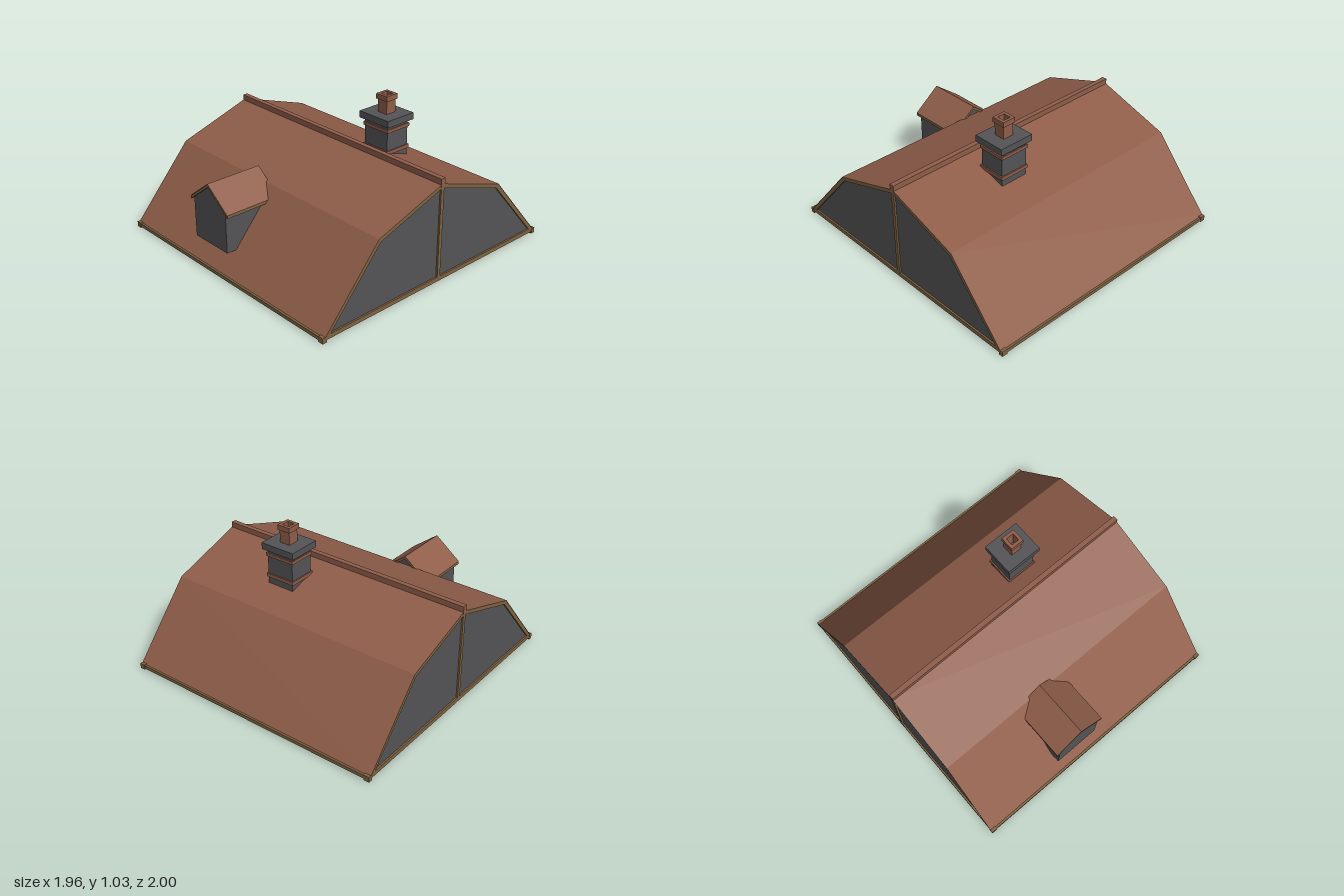
import * as THREE from 'three';

const tile = new THREE.MeshStandardMaterial({ name: 'roofTile', color: 0x8f5d49, side: THREE.DoubleSide });
const plaster = new THREE.MeshStandardMaterial({ name: 'greyWall', color: 0x545457, side: THREE.DoubleSide });
const wood = new THREE.MeshStandardMaterial({ name: 'wood', color: 0x7f6341 });

function add(parent, name, geometry, material) {
  const mesh = new THREE.Mesh(geometry, material);
  mesh.name = name;
  parent.add(mesh);
  return mesh;
}

// Box given by its limits on each axis
function box(parent, name, material, [x0, x1], [y0, y1], [z0, z1]) {
  const mesh = add(parent, name, new THREE.BoxGeometry(x1 - x0, y1 - y0, z1 - z0), material);
  mesh.position.set((x0 + x1) / 2, (y0 + y1) / 2, (z0 + z1) / 2);
  return mesh;
}

// Complete a half profile (eave to ridge) on the other side
const mirror = (half) => [...half, ...half.slice(0, -1).reverse().map(([x, y]) => [-x, y])];
const shapeOf = (points) => new THREE.Shape(points.map(([x, y]) => new THREE.Vector2(x, y)));

// Folded open sheet: a profile in x,y swept from z0 to z1
function sheet(points, z0, z1) {
  const pos = [];
  for (let i = 0; i < points.length - 1; i++) {
    const [ax, ay] = points[i], [bx, by] = points[i + 1];
    pos.push(ax, ay, z0, ax, ay, z1, bx, by, z1, ax, ay, z0, bx, by, z1, bx, by, z0);
  }
  const g = new THREE.BufferGeometry();
  g.setAttribute('position', new THREE.Float32BufferAttribute(pos, 3));
  g.computeVertexNormals();
  return g;
}

// Solid band between two profiles, swept from z0 to z1
function band(outer, inner, z0, z1) {
  const g = new THREE.ExtrudeGeometry(shapeOf([...outer, ...[...inner].reverse()]), { depth: z1 - z0, bevelEnabled: false });
  return g.translate(0, 0, z0);
}

const raise = (points, d) => points.map(([x, y]) => [x, y + d]);

function buildRoof() {
  const roof = new THREE.Group();
  roof.name = 'mainRoof';
  const outer = mirror([[0.982, 0.03], [0.55, 0.525], [0, 0.708]]);
  const inner = mirror([[0.95, 0.03], [0.532, 0.503], [0, 0.68]]);

  add(roof, 'roofSlopes', sheet(raise(outer, 0.003), -0.982, 0.982).rotateY(Math.PI / 2), tile);
  box(roof, 'ridgeCap', tile, [-0.982, 0.982], [0.69, 0.745], [-0.018, 0.018]);

  // Gable walls with their timber frames
  for (const s of [-1, 1]) {
    const wall = new THREE.ShapeGeometry(shapeOf(outer)).rotateY(Math.PI / 2).translate(s * 0.968, 0, 0);
    add(roof, 'gableWall', wall, plaster);
    const range = s > 0 ? [0.955, 0.98] : [-0.98, -0.955];
    add(roof, 'gableTrim', band(outer, inner, ...range).rotateY(Math.PI / 2), wood);
    box(roof, 'gablePost', wood, range, [0.03, 0.69], [-0.013, 0.013]);
    box(roof, 'gableBeam', wood, range, [0.015, 0.045], [-0.97, 0.97]);
  }

  // Eave beams with corner blocks
  for (const s of [-1, 1]) {
    const range = s > 0 ? [0.968, 0.997] : [-0.997, -0.968];
    box(roof, 'eaveBeam', wood, [-0.982, 0.982], [0.008, 0.033], range);
    for (const t of [-1, 1]) {
      const block = box(roof, 'cornerBlock', wood, [-0.02, 0.02], [0, 0.038], [-0.016, 0.016]);
      block.position.x = t * 0.962;
      block.position.z = s * 0.984;
    }
  }
  return roof;
}

function buildDormer() {
  const dormer = new THREE.Group();
  dormer.name = 'dormer';
  dormer.position.x = -0.17;
  const back = 0.55, front = 0.938;
  const end = [[0.167, 0.165], [0.167, 0.45], [0, 0.588], [-0.167, 0.45], [-0.167, 0.165]];

  // Side walls and the two end walls, open underneath
  add(dormer, 'leftWall', sheet(end.slice(0, 2), back, front), plaster);
  add(dormer, 'rightWall', sheet(end.slice(3), back, front), plaster);
  for (const z of [back, front])
    add(dormer, 'endWall', new THREE.ShapeGeometry(shapeOf(end)).translate(0, 0, z), plaster);

  // Pitched roof: timber boards below, tiles on top
  const top = mirror([[0.197, 0.452], [0, 0.603]]);
  add(dormer, 'roofBoards', band(top, raise(top, -0.022), 0.53, 0.945), wood);
  add(dormer, 'roofTiles', sheet(raise(top, 0.003), 0.53, 0.945), tile);

  // Window frame on the inner end wall
  const depth = [back - 0.016, back];
  for (const x of [-0.125, 0, 0.125])
    box(dormer, 'windowUpright', wood, [x - 0.011, x + 0.011], [0.22, 0.455], depth);
  for (const y of [0.23, 0.338, 0.445])
    box(dormer, 'windowRail', wood, [-0.136, 0.136], [y - 0.011, y + 0.011], depth);
  return dormer;
}

function buildChimney() {
  const chimney = new THREE.Group();
  chimney.name = 'chimney';
  chimney.position.set(0.251, 0, -0.238);
  const block = (name, material, hx, hz, y0, y1) =>
    box(chimney, name, material, [-hx, hx], [y0, y1], [-hz, hz]);

  block('stack', plaster, 0.105, 0.095, 0.333, 0.87);
  block('lowerBand', tile, 0.114, 0.104, 0.65, 0.676);
  block('upperBand', tile, 0.114, 0.104, 0.807, 0.83);
  block('cap', plaster, 0.134, 0.12, 0.857, 0.905);

  // Hollow square pot with a wider rim
  const tube = (name, half, hole, y0, y1) => {
    const square = (h) => [[h, h], [-h, h], [-h, -h], [h, -h]];
    const shape = shapeOf(square(half));
    shape.holes.push(new THREE.Path(square(hole).reverse().map(([x, y]) => new THREE.Vector2(x, y))));
    const g = new THREE.ExtrudeGeometry(shape, { depth: y1 - y0, bevelEnabled: false });
    add(chimney, name, g.rotateX(-Math.PI / 2).translate(0, y0, 0), tile);
  };
  tube('pot', 0.041, 0.028, 0.9, 1.0);
  tube('potRim', 0.05, 0.028, 0.998, 1.035);
  return chimney;
}

export function createModel() {
  const model = new THREE.Group();
  model.name = 'gambrelRoof';
  model.add(buildRoof(), buildDormer(), buildChimney());
  return model;
}
